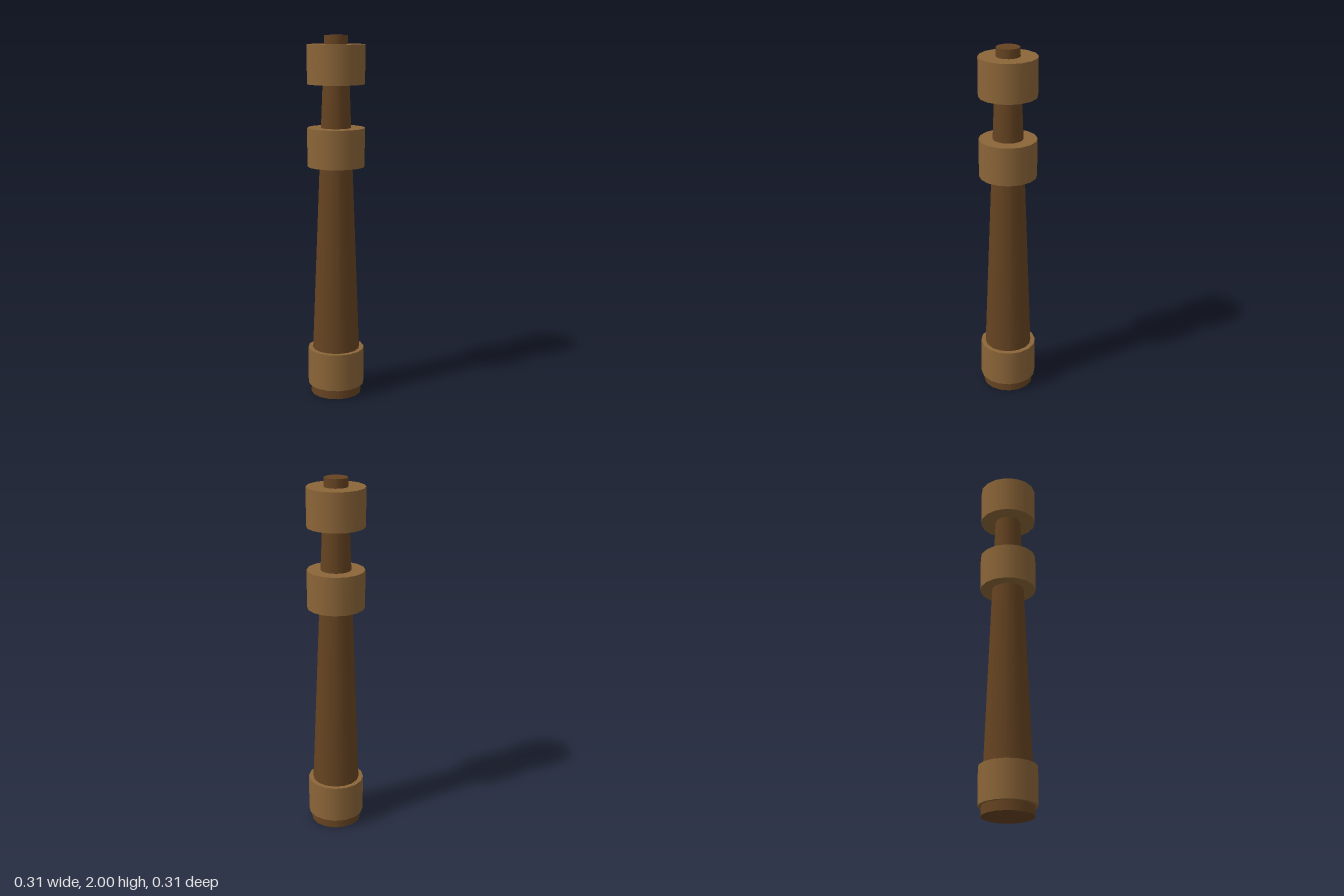
import * as THREE from 'three';

export function createModel() {
  const group = new THREE.Group();
  const darkWood = new THREE.MeshStandardMaterial({ color: 0x654321 });
  darkWood.name = 'darkWood';
  const lightWood = new THREE.MeshStandardMaterial({ color: 0x8b6538 });
  lightWood.name = 'lightWood';

  // Upright 16-sided cylinder centred at height y
  const addCylinder = (name, top, bottom, height, y, material) => {
    const mesh = new THREE.Mesh(new THREE.CylinderGeometry(top, bottom, height, 16), material);
    mesh.name = name;
    mesh.position.y = y;
    group.add(mesh);
  };

  // Tapered shaft running the full height
  addCylinder('shaft', 0.063, 0.141, 2, 1, darkWood);

  // Three equal collars
  const collars = { lowerCollar: 0.159, middleCollar: 1.403, upperCollar: 1.847 };
  for (const [name, y] of Object.entries(collars)) {
    addCylinder(name, 0.157, 0.157, 0.21, y, lightWood);
  }
  return group;
}
